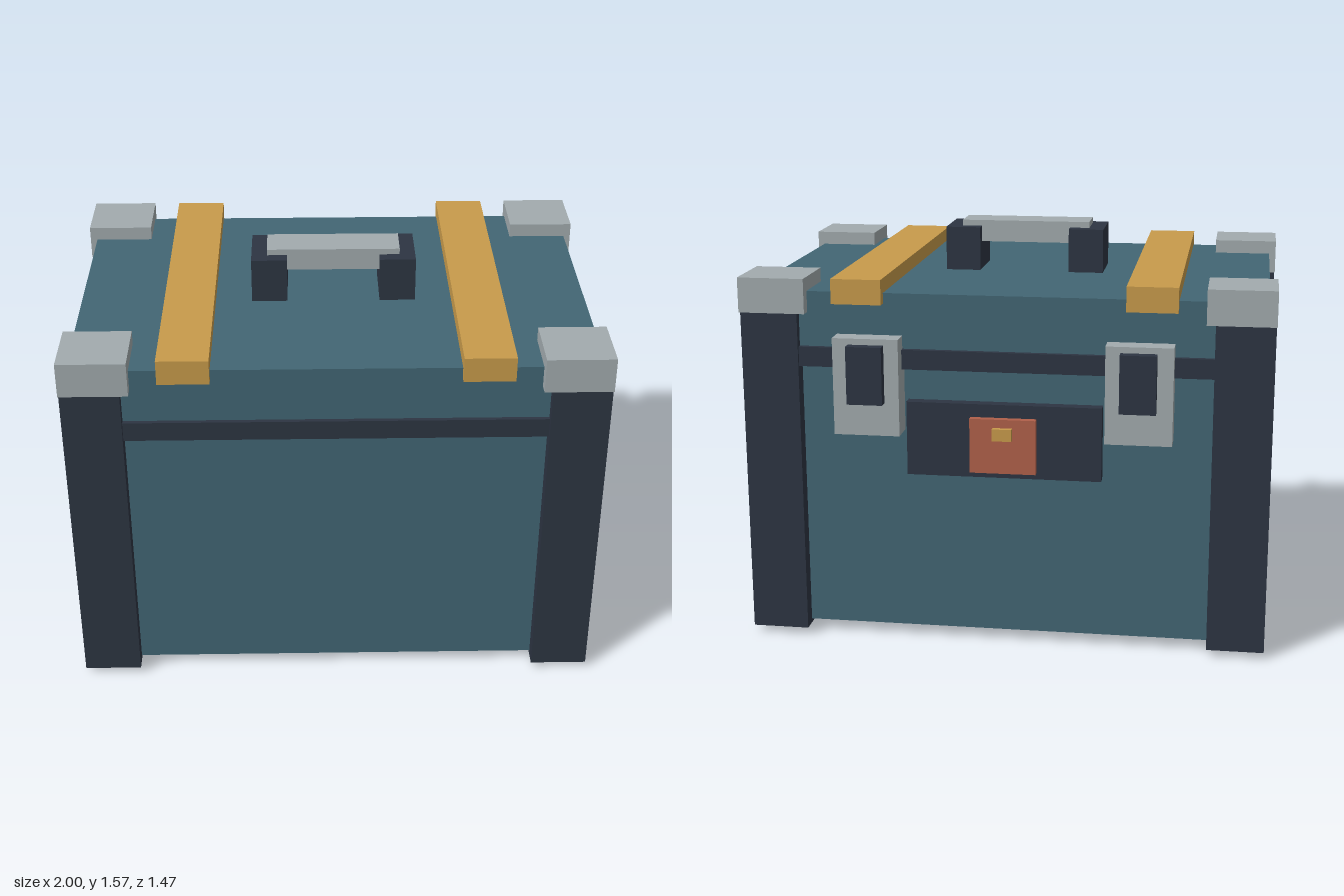
import * as THREE from 'three';

const mat = (name, color) => {
  const m = new THREE.MeshStandardMaterial({ color });
  m.name = name;
  return m;
};

export function createModel() {
  const teal = mat('teal panel', 0x426674);
  const dark = mat('dark frame', 0x2d3542);
  const grey = mat('grey metal', 0xa2abae);
  const gold = mat('gold strap', 0xc89b4b);
  const rust = mat('rust lock', 0xb0604a);

  const chest = new THREE.Group();
  chest.name = 'chest';

  // Box given by its limits on each axis
  const box = (name, material, [x0, x1], [y0, y1], [z0, z1]) => {
    const mesh = new THREE.Mesh(new THREE.BoxGeometry(x1 - x0, y1 - y0, z1 - z0), material);
    mesh.position.set((x0 + x1) / 2, (y0 + y1) / 2, (z0 + z1) / 2);
    mesh.name = name;
    chest.add(mesh);
  };
  // The same box on the left and right
  const pair = (name, material, [x0, x1], y, z) => {
    box(name + 'Left', material, [x0, x1], y, z);
    box(name + 'Right', material, [-x1, -x0], y, z);
  };

  // Body, seam band and lid
  box('body', teal, [-0.94, 0.94], [0.043, 1.1], [-0.59, 0.67]);
  box('seamBand', dark, [-0.995, 0.995], [1.085, 1.16], [-0.637, 0.707]);
  box('lid', teal, [-0.973, 0.973], [1.16, 1.37], [-0.617, 0.69]);

  // Corner posts and metal caps
  const ends = [['front', [0.51, 0.727], [0.488, 0.735]], ['back', [-0.648, -0.428], [-0.662, -0.413]]];
  for (const [end, postZ, capZ] of ends) {
    pair(end + 'Post', dark, [0.78, 0.998], [0.027, 1.33], postZ);
    pair(end + 'Cap', grey, [0.747, 1], [1.29, 1.423], capZ);
  }

  // Runners underneath
  box('frontRunner', dark, [-0.862, 0.862], [0, 0.05], [0.38, 0.565]);
  box('backRunner', dark, [-0.862, 0.862], [0, 0.05], [-0.485, -0.298]);

  // Straps over the lid
  pair('strap', gold, [0.455, 0.645], [1.33, 1.425], [-0.655, 0.722]);

  // Carrying handle
  pair('handleMount', dark, [0.178, 0.315], [1.36, 1.542], [-0.078, 0.155]);
  box('handleGrip', grey, [-0.255, 0.255], [1.48, 1.565], [-0.033, 0.107]);

  // Latches on the back
  pair('latchPlate', grey, [0.385, 0.635], [0.84, 1.21], [-0.695, -0.58]);
  pair('latchLever', dark, [0.44, 0.575], [0.967, 1.187], [-0.735, -0.69]);

  // Lock on its backing plate
  box('lockBacking', dark, [-0.37, 0.37], [0.675, 0.96], [-0.635, -0.58]);
  box('lockFace', rust, [-0.125, 0.125], [0.7, 0.91], [-0.663, -0.6]);
  box('lockClasp', gold, [-0.037, 0.037], [0.832, 0.878], [-0.684, -0.65]);

  return chest;
}
